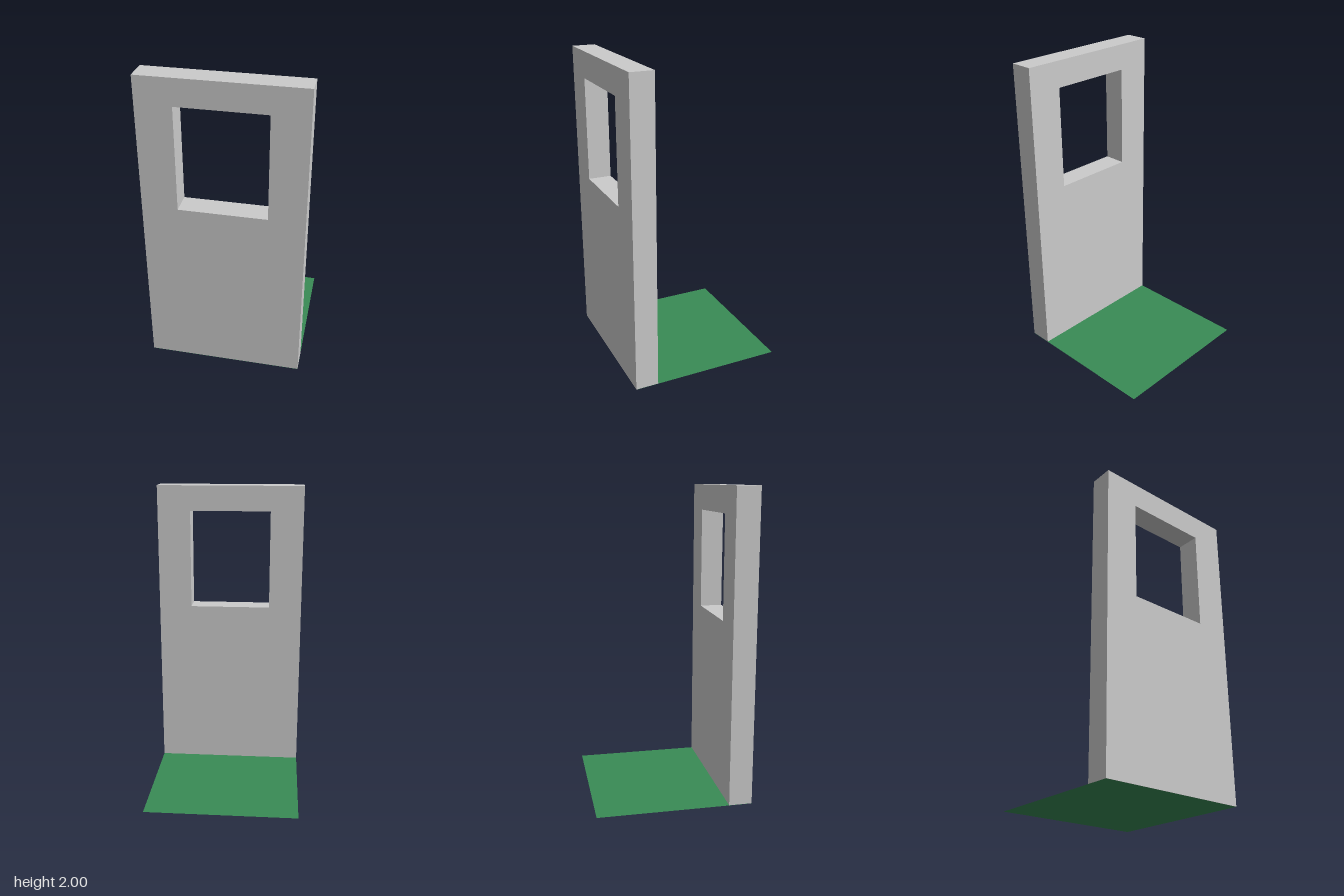
import * as THREE from 'three';

// Counter-clockwise rectangle corners from centre and size
function rectPoints(cx, cy, w, h) {
  return [[-1, -1], [1, -1], [1, 1], [-1, 1]].map(
    ([sx, sy]) => new THREE.Vector2(cx + (sx * w) / 2, cy + (sy * h) / 2)
  );
}

export function createModel() {
  const group = new THREE.Group();
  const depth = 0.15;
  const lift = 0.001; // keeps the wall's underside off the floor plane

  // Upright wall slab with a rectangular window opening
  const outline = new THREE.Shape(rectPoints(0, 1 + lift / 2, 1, 2 - lift));
  outline.holes.push(new THREE.Path(rectPoints(0, 1.495, 0.55, 0.67).reverse()));
  const wall = new THREE.Mesh(
    new THREE.ExtrudeGeometry(outline, { depth, bevelEnabled: false }),
    new THREE.MeshStandardMaterial({ color: 0xcccccc })
  );
  wall.name = 'windowWall';
  wall.position.z = 0.5 - depth;
  group.add(wall);

  // Thin square floor, visible from above and below
  const floor = new THREE.Mesh(
    new THREE.PlaneGeometry(1, 1).rotateX(-Math.PI / 2),
    new THREE.MeshStandardMaterial({ color: 0x398b55, side: THREE.DoubleSide })
  );
  floor.name = 'floor';
  group.add(floor);

  return group;
}
